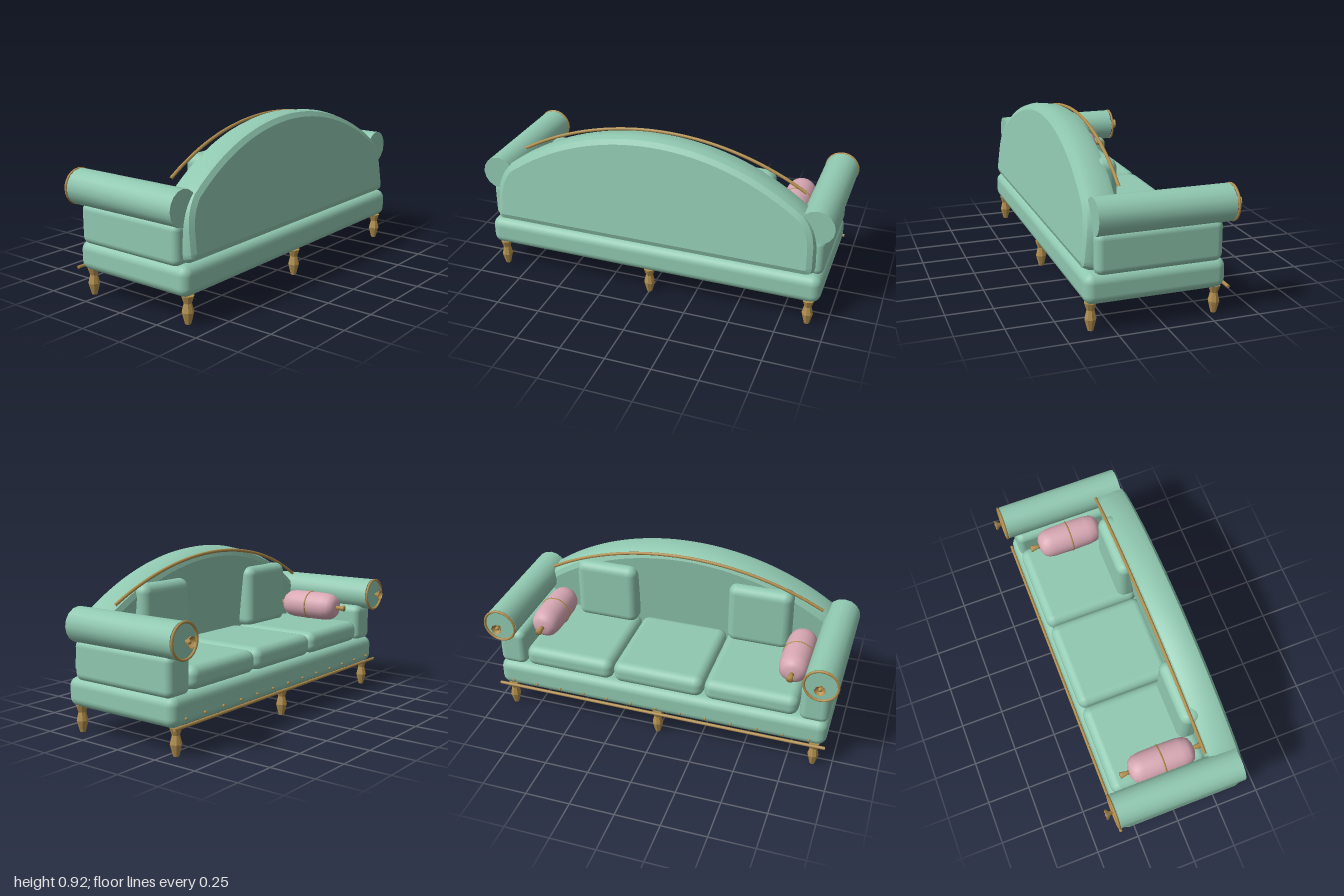
import * as THREE from 'three';
import { RoundedBoxGeometry } from 'three/addons/geometries/RoundedBoxGeometry.js';
import { toCreasedNormals } from 'three/addons/utils/BufferGeometryUtils.js';

const material = (name, color) => {
  const m = new THREE.MeshStandardMaterial({ color });
  m.name = name;
  return m;
};

export function createModel() {
  const sofa = new THREE.Group();
  sofa.name = 'sofa';
  const green = material('sage upholstery', 0x90c8b0);
  const pink = material('pink fabric', 0xd8a8b4);
  const gold = material('antique gold', 0xb08d4c);
  const goldOpen = material('rosette gold', 0xb08d4c);
  goldOpen.side = THREE.DoubleSide;

  const add = (name, geo, mat, x = 0, y = 0, z = 0, parent = sofa) => {
    const mesh = new THREE.Mesh(geo, mat);
    mesh.name = name;
    mesh.position.set(x, y, z);
    parent.add(mesh);
    return mesh;
  };
  const lathe = (pts, sides) =>
    new THREE.LatheGeometry(pts.map(([r, y]) => new THREE.Vector2(r, y)), sides);
  const creased = (geo, angle) => toCreasedNormals(geo, angle);

  // Base and three seat cushions
  add('base', new RoundedBoxGeometry(1.915, 0.16, 0.74, 3, 0.05), green, 0, 0.225, 0.035);
  for (const x of [-0.528, 0, 0.528])
    add('seatCushion', new RoundedBoxGeometry(0.524, 0.125, 0.56, 3, 0.05), green, x, 0.36, -0.04);

  // Arched backrest, leaning over the seat
  const arch = new THREE.Shape();
  arch.moveTo(-0.87, 0);
  arch.lineTo(0.87, 0);
  arch.quadraticCurveTo(0.915, 0, 0.915, 0.05);
  arch.lineTo(0.912, 0.16);
  arch.quadraticCurveTo(0.905, 0.27, 0.84, 0.337);
  const R = 1.41;
  for (let i = 1; i <= 36; i++) {
    const x = 0.84 - (1.68 * i) / 36;
    arch.lineTo(x, 0.614 - R + Math.sqrt(R * R - x * x));
  }
  arch.quadraticCurveTo(-0.905, 0.27, -0.912, 0.16);
  arch.lineTo(-0.915, 0.05);
  arch.quadraticCurveTo(-0.915, 0, -0.87, 0);
  const backGeo = new THREE.ExtrudeGeometry(arch, {
    depth: 0.085, bevelThickness: 0.047, bevelSize: 0.04, bevelOffset: -0.04,
    bevelSegments: 2, curveSegments: 8,
  });
  backGeo.translate(0, 0, -0.0425);
  const back = add('backrest', creased(backGeo, 0.45), green, 0, 0.302, 0.322);
  back.rotation.x = -0.115;

  // Gold rail following the arch
  const railPoints = [];
  for (let i = 0; i <= 16; i++) {
    const x = -0.81 + (1.62 * i) / 16;
    const y = 0.893 - 1.65 + Math.sqrt(1.65 * 1.65 - x * x);
    railPoints.push(new THREE.Vector3(x, y, 0.185 - 0.114 * (y - 0.68)));
  }
  add('backRail', new THREE.TubeGeometry(new THREE.CatmullRomCurve3(railPoints), 48, 0.009, 8), gold);

  // Front rail and studs along the base
  const rail = add('frontRail', new THREE.CylinderGeometry(0.009, 0.009, 1.92, 8), gold, 0, 0.156, -0.341);
  rail.rotation.z = Math.PI / 2;
  const studGeo = new THREE.SphereGeometry(0.008, 8, 6);
  for (let i = -6; i <= 6; i++) add('stud', studGeo, gold, i * 0.145, 0.19, -0.34);

  // Six turned legs
  const legGeo = creased(
    lathe([[0, 0], [0.015, 0], [0.031, 0.062], [0.02, 0.108], [0.033, 0.147], [0, 0.147]], 8), 0.3);
  for (const x of [-0.895, 0, 0.895])
    for (const z of [0.36, -0.295]) add('leg', legGeo, gold, x, 0, z);

  // Scalloped rosette cup, opening along +y before it is turned forward
  const rosetteGeo = lathe([[0, 0], [0.01, 0.004], [0.013, 0.016], [0.028, 0.03], [0.031, 0.04]], 16);
  const p = rosetteGeo.attributes.position;
  for (let i = 0; i < p.count; i++) {
    const petal = 1 - 0.12 * (Math.floor(i / 5) % 2);
    if (p.getY(i) > 0.02) p.setXYZ(i, p.getX(i) * petal, p.getY(i) * (petal * 0.6 + 0.4), p.getZ(i) * petal);
  }
  rosetteGeo.computeVertexNormals();

  // Bolster and tassel profiles, turned about their long axis
  const bolsterGeo = lathe([[0, -0.188], [0.035, -0.186], [0.06, -0.174], [0.077, -0.15], [0.084, -0.11],
    [0.086, 0], [0.084, 0.11], [0.077, 0.15], [0.06, 0.174], [0.035, 0.186], [0, 0.188]], 24);
  const tasselGeo = lathe([[0, 0], [0.014, 0], [0.011, 0.015], [0.019, 0.056], [0, 0.056]], 10);

  for (const s of [-1, 1]) {
    const side = s > 0 ? 'left' : 'right';

    // Arm panel and scroll roll
    const arm = new THREE.Group();
    arm.name = side + 'Arm';
    sofa.add(arm);
    add('armPanel', new RoundedBoxGeometry(0.16, 0.22, 0.665, 3, 0.04), green, s * 0.876, 0.4, 0.0175, arm);
    const roll = add('armRoll', creased(new THREE.CylinderGeometry(0.095, 0.095, 0.705, 16), 0.6),
      green, s * 0.905, 0.58, -0.0025, arm);
    roll.rotation.x = Math.PI / 2;
    add('armRim', new THREE.TorusGeometry(0.091, 0.007, 8, 24), gold, s * 0.905, 0.58, -0.366, arm);
    const rosette = add('rosette', rosetteGeo, goldOpen, s * 0.905, 0.58, -0.372, arm);
    rosette.rotation.x = -Math.PI / 2;
    add('rosetteBud', new THREE.SphereGeometry(0.012, 10, 8), gold, s * 0.905, 0.58, -0.394, arm);

    // Bolster with a band and end tassels
    const bolster = new THREE.Group();
    bolster.name = side + 'Bolster';
    bolster.position.set(s * 0.725, 0.503, -0.02);
    bolster.rotation.x = -Math.PI / 2;
    sofa.add(bolster);
    add('bolsterBody', bolsterGeo, pink, 0, 0, 0, bolster);
    const band = add('bolsterBand', new THREE.TorusGeometry(0.085, 0.005, 6, 24), gold, 0, 0, 0, bolster);
    band.rotation.x = Math.PI / 2;
    add('tassel', tasselGeo, gold, 0, 0.183, 0, bolster);
    add('tassel', tasselGeo, gold, 0, -0.183, 0, bolster).rotation.x = Math.PI;

    // Loose back pillow
    add(side + 'BackPillow', new RoundedBoxGeometry(0.37, 0.365, 0.125, 3, 0.05), green, s * 0.46, 0.588, 0.186);
  }
  return sofa;
}
